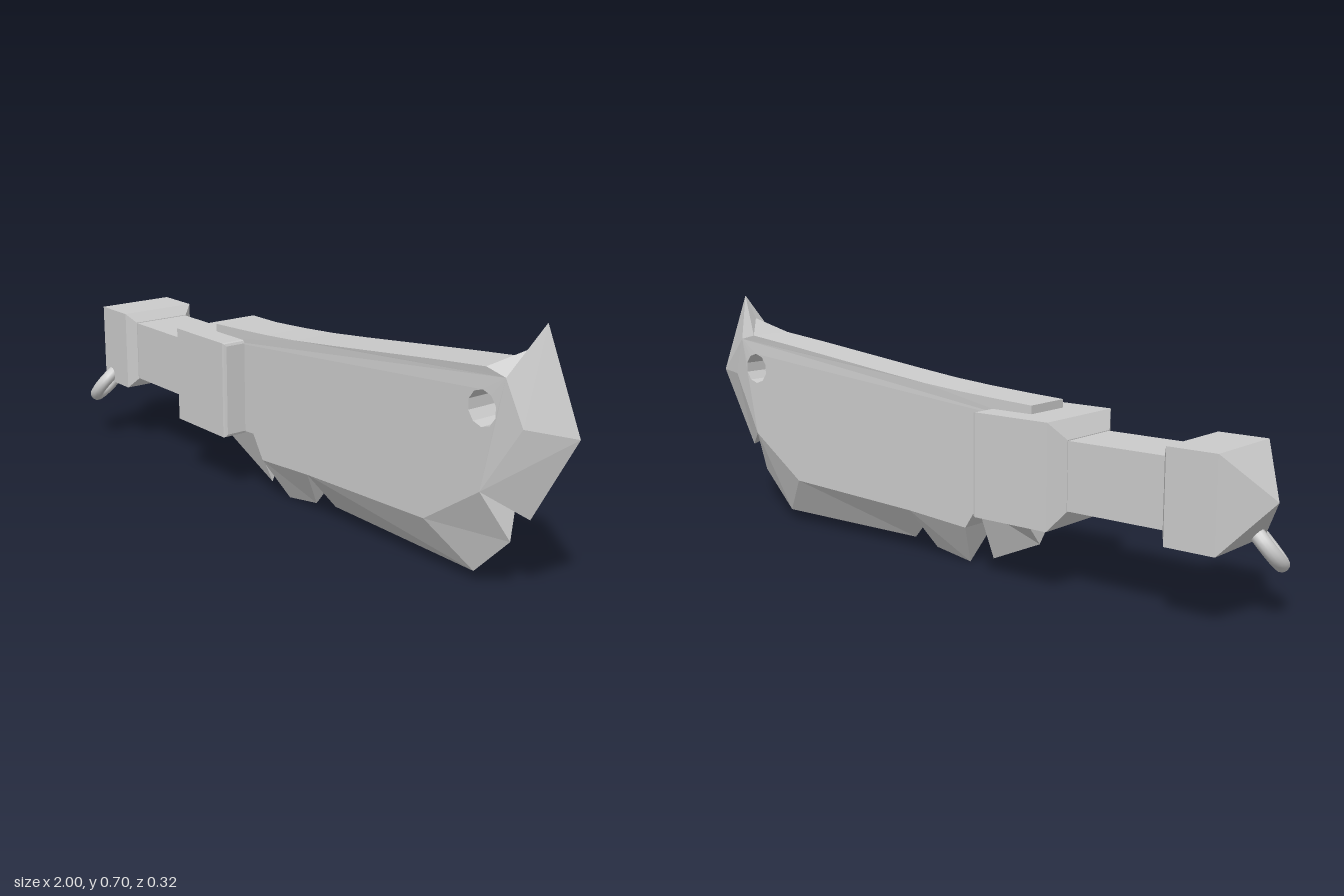
import * as THREE from 'three';

const MID_Z = -0.02;   // centre plane of blade and handle
const HALF = 0.07;     // half thickness of the blade
const material = new THREE.MeshStandardMaterial({ color: 0xcccccc, flatShading: true });
const smooth = new THREE.MeshStandardMaterial({ color: 0xcccccc });

// Ground edges, anticlockwise: [ridge x, ridge y, cutting edge x, cutting edge y].
// The gaps between the runs are the chips in the edge.
const edgeRuns = [
  [[-0.305, 0.18, -0.305, 0.095], [-0.145, 0.19, -0.145, 0.025]],
  [[-0.10, 0.12, -0.06, 0], [0.11, 0.135, 0.065, 0.02]],
  [[0.11, 0.135, 0.15, 0.035], [0.577, 0.153, 0.69, 0.03], [0.765, 0.28, 0.807, 0.147]],
  [[0.765, 0.28, 0.866, 0.222], [0.877, 0.46, 1, 0.457], [0.83, 0.575, 0.888, 0.705], [0.77, 0.59, 0.84, 0.635]],
];

// Spine and tang end, continuing anticlockwise
const spine = [
  [0.77, 0.59], [0.6, 0.572], [0.4, 0.549], [0.2, 0.526], [0.05, 0.51], [-0.08, 0.5],
  [-0.2, 0.493], [-0.325, 0.487], [-0.325, 0.44], [-0.305, 0.44], [-0.305, 0.18],
];

// The flat thins slightly towards the nose
const halfAt = (x) => HALF - Math.max(0, x - 0.82) * 0.3;

function createBlade() {
  const pos = [];
  const tri = (...pts) => pts.forEach((p) => pos.push(p[0], p[1], p[2] + MID_Z));
  const quad = (a, b, c, d) => { tri(a, b, c); tri(a, c, d); };
  const at = (p, side) => [p[0], p[1], side * halfAt(p[0])];
  const edge = (p) => [p[2], p[3], 0];
  const wall = (a, b) => quad(at(a, -1), at(b, -1), at(b, 1), at(a, 1));

  // Bevels on both sides, with a triangular face closing each end of a run
  edgeRuns.forEach((run) => {
    for (let i = 0; i < run.length - 1; i++) {
      const a = run[i], b = run[i + 1];
      quad(at(a, 1), edge(a), edge(b), at(b, 1));
      quad(at(b, -1), edge(b), edge(a), at(a, -1));
    }
    const first = run[0], last = run[run.length - 1];
    tri(at(first, 1), at(first, -1), edge(first));
    tri(at(last, -1), at(last, 1), edge(last));
  });

  // Spine, tang end and the flat between the first two runs
  for (let i = 0; i < spine.length - 1; i++) wall(spine[i], spine[i + 1]);
  wall(edgeRuns[0][1], edgeRuns[1][0]);

  // Hanging hole, clockwise so that its wall faces inwards
  const hole = [];
  for (let i = 0; i < 10; i++) {
    const t = -(i + 0.5) / 10 * Math.PI * 2;
    hole.push([0.762 + 0.046 * Math.cos(t), 0.487 + 0.046 * Math.sin(t)]);
  }
  hole.forEach((p, i) => wall(p, hole[(i + 1) % hole.length]));

  // Flat sides
  const outline = [...edgeRuns.flat(), ...spine.slice(1, -1)].filter(
    (p, i, all) => i === 0 || p[0] !== all[i - 1][0] || p[1] !== all[i - 1][1]);
  const toVec = (p) => new THREE.Vector2(p[0], p[1]);
  const all = [...outline, ...hole];
  THREE.ShapeUtils.triangulateShape(outline.map(toVec), [hole.map(toVec)]).forEach(([a, b, c]) => {
    tri(at(all[a], 1), at(all[b], 1), at(all[c], 1));
    tri(at(all[c], -1), at(all[b], -1), at(all[a], -1));
  });

  const geo = new THREE.BufferGeometry();
  geo.setAttribute('position', new THREE.Float32BufferAttribute(pos, 3));
  geo.computeVertexNormals();
  const mesh = new THREE.Mesh(geo, material);
  mesh.name = 'blade';
  return mesh;
}

// Square bar along x, from [x, half width] stations
function squareBar(name, stations) {
  const profile = stations.map(([x, h]) => new THREE.Vector2(h * Math.SQRT2, x));
  const geo = new THREE.LatheGeometry(profile, 4);
  geo.rotateY(Math.PI / 4);
  geo.rotateZ(-Math.PI / 2);
  geo.translate(0, 0.322, MID_Z);
  const mesh = new THREE.Mesh(geo, material);
  mesh.name = name;
  return mesh;
}

export function createModel() {
  const group = new THREE.Group();
  group.name = 'cleaver';
  group.add(createBlade());

  // Handle
  group.add(squareBar('pommel', [[-1, 0], [-0.905, 0.123], [-0.765, 0.123], [-0.745, 0.094], [-0.745, 0]]));
  group.add(squareBar('grip', [[-0.75, 0.092], [-0.45, 0.092]]));
  group.add(squareBar('guard', [
    [-0.46, 0], [-0.46, 0.094], [-0.43, 0.142], [-0.195, 0.142], [-0.188, 0.14], [-0.185, 0.133], [-0.185, 0],
  ]));

  // Lanyard ring through the lower corner of the pommel
  const ring = new THREE.Mesh(new THREE.TorusGeometry(0.063, 0.02, 12, 32), smooth);
  ring.name = 'lanyardRing';
  ring.position.set(-0.917, 0.187, 0.085);
  ring.quaternion.setFromUnitVectors(
    new THREE.Vector3(0, 0, 1), new THREE.Vector3(-0.63, 0.63, 0.45).normalize());
  group.add(ring);

  return group;
}
